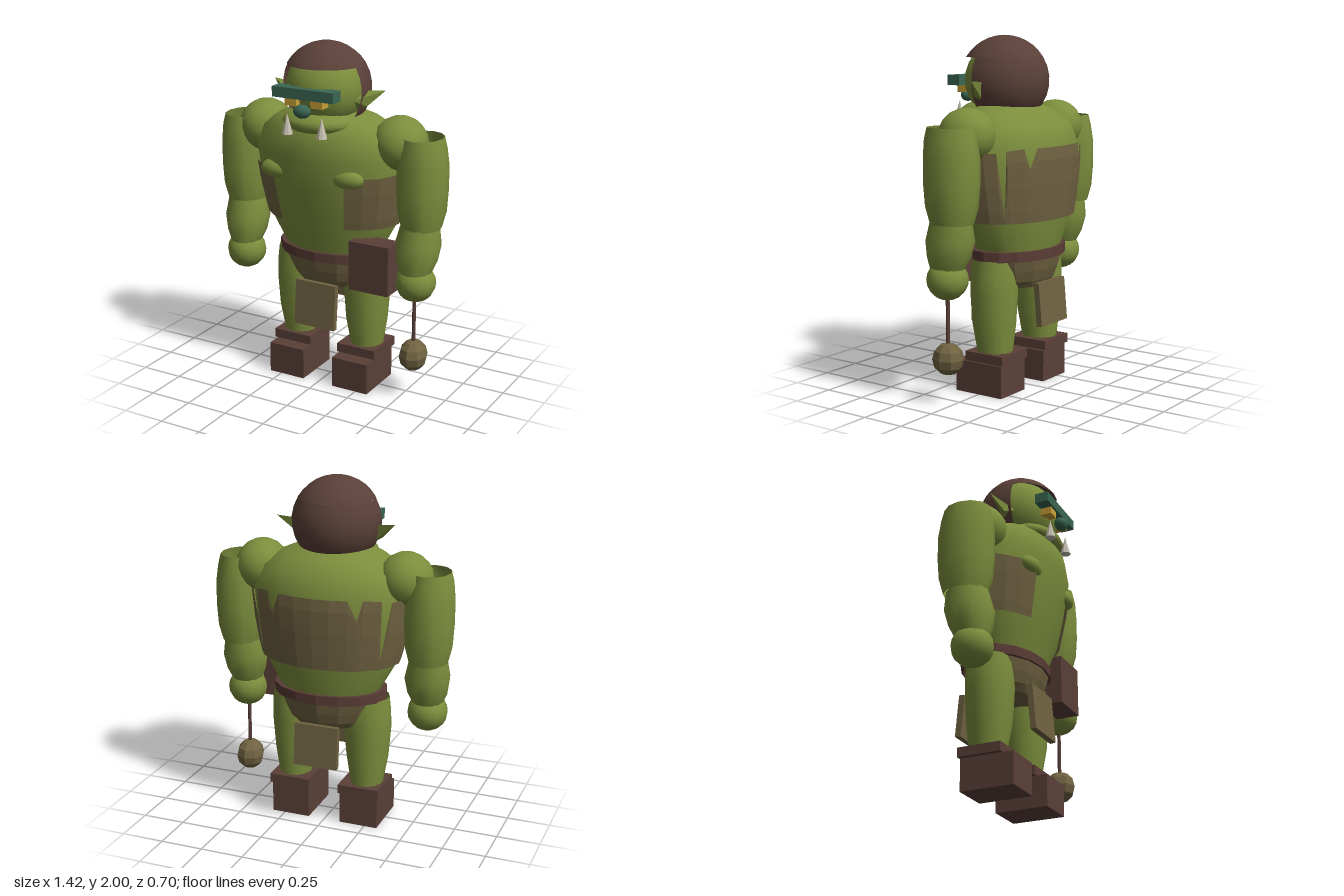
import * as THREE from 'three';
import { mergeVertices } from 'three/addons/utils/BufferGeometryUtils.js';
import { ConvexGeometry } from 'three/addons/geometries/ConvexGeometry.js';

const mat = (name, color, extra = {}) => new THREE.MeshStandardMaterial({ name, color, ...extra });

// Grid surface from a rule f(u, v) -> [x, y, z]; seams are welded for smooth normals
function surface(nu, nv, f) {
  const pos = [], idx = [];
  for (let j = 0; j <= nv; j++) for (let i = 0; i <= nu; i++) pos.push(...f(i, j));
  for (let j = 0; j < nv; j++) for (let i = 0; i < nu; i++) {
    const a = j * (nu + 1) + i, b = a + 1, c = a + nu + 1, d = c + 1;
    idx.push(a, b, d, a, d, c);
  }
  let g = new THREE.BufferGeometry();
  g.setAttribute('position', new THREE.Float32BufferAttribute(pos, 3));
  g.setIndex(idx);
  g = mergeVertices(g, 1e-5);
  g.computeVertexNormals();
  return g;
}

// Elliptical rings, bottom to top: [y, rx, rz, cx, cz]
function loft(rings, seg) {
  return surface(seg, rings.length - 1, (i, j) => {
    const [y, rx, rz, cx = 0, cz = 0] = rings[j];
    const a = ((i % seg) / seg) * Math.PI * 2;
    return [cx + rx * Math.sin(a), y, cz + rz * Math.cos(a)];
  });
}

// Torso rings: [y, rx, rz, cx, cz]
const TORSO = [
  [0.74, 0.0, 0.0, 0, -0.045], [0.74, 0.28, 0.2, 0, -0.045], [0.82, 0.3, 0.215, 0, -0.045],
  [1.0, 0.4, 0.265, 0, -0.04], [1.2, 0.44, 0.295, 0, -0.03], [1.38, 0.46, 0.315, 0, -0.02],
  [1.51, 0.41, 0.285, 0, -0.005], [1.58, 0.3, 0.22, 0, 0.01], [1.63, 0.18, 0.14, 0, 0.03], [1.64, 0, 0, 0, 0.03],
];
function torsoPoint(y, a, off) {
  let k = 1;
  while (k < TORSO.length - 2 && TORSO[k + 1][0] < y) k++;
  const t = (y - TORSO[k][0]) / (TORSO[k + 1][0] - TORSO[k][0]);
  const [, rx, rz, , cz] = TORSO[k].map((v, n) => v + (TORSO[k + 1][n] - v) * t);
  return [(rx + off) * Math.sin(a), y, cz + (rz + off) * Math.cos(a)];
}

export function createModel() {
  const skin = mat('green skin', 0x7c8e3d, { side: THREE.DoubleSide });
  const leather = mat('dark brown leather', 0x5a4038, { side: THREE.DoubleSide });
  const cloth = mat('khaki cloth', 0x706342, { side: THREE.DoubleSide, flatShading: true });
  const teal = mat('dark teal', 0x3b6652);
  const ivory = mat('ivory', 0xc6beb0, { flatShading: true });
  const yellow = mat('eye yellow', 0xc9a136);
  const group = new THREE.Group();

  const add = (name, geo, m, x = 0, y = 0, z = 0) => {
    const mesh = new THREE.Mesh(geo, m);
    mesh.name = name;
    mesh.position.set(x, y, z);
    group.add(mesh);
    return mesh;
  };
  const box = (name, m, x0, x1, y0, y1, z0, z1) =>
    add(name, new THREE.BoxGeometry(x1 - x0, y1 - y0, z1 - z0), m, (x0 + x1) / 2, (y0 + y1) / 2, (z0 + z1) / 2);
  const ball = (name, m, x, y, z, rx, ry, rz, w = 14, h = 10) =>
    add(name, new THREE.SphereGeometry(1, w, h).scale(rx, ry, rz), m, x, y, z);

  // Body
  add('torso', loft(TORSO, 24), skin);

  // Torn vest, open at the front: [angle from front, top height] for one half
  const half = [[0.5, 1.26], [0.75, 1.3], [1.0, 1.3], [1.3, 1.31], [1.6, 1.38], [1.9, 1.38], [2.1, 1.38],
    [2.17, 1.04], [2.25, 1.39], [2.5, 1.4], [2.58, 1.29], [2.7, 1.4], [2.92, 1.4]];
  const columns = [...half, [Math.PI, 1.4], ...half.map(([a, t]) => [2 * Math.PI - a, t]).reverse()];
  add('vest', surface(columns.length - 1, 6, (i, j) => {
    const [a, top] = columns[i];
    return torsoPoint(0.99 + (top - 0.99) * j / 6, a, 0.016);
  }), cloth);

  // Belt, loincloth and flaps
  add('belt', loft([[0.765, 0.3, 0.2, 0, -0.045], [0.765, 0.335, 0.235, 0, -0.045],
    [0.82, 0.335, 0.235, 0, -0.045], [0.82, 0.29, 0.2, 0, -0.045]], 16), mat('belt brown', 0x5a3c36, { flatShading: true }));
  add('loincloth', loft([[0.6, 0, 0, 0, -0.045], [0.6, 0.2, 0.17, 0, -0.045], [0.64, 0.25, 0.19, 0, -0.045],
    [0.7, 0.28, 0.21, 0, -0.045], [0.77, 0.31, 0.225, 0, -0.045]], 14), cloth);
  box('frontFlap', cloth, -0.13, 0.13, 0.365, 0.63, 0.153, 0.187).rotation.x = -0.08;
  box('backFlap', cloth, -0.13, 0.13, 0.39, 0.635, -0.285, -0.25).rotation.x = 0.09;
  box('pouch', leather, 0.225, 0.47, 0.645, 0.93, 0.06, 0.197);

  // Head and jaw
  const hx = 1.75, hz = 0.05, R = 0.253;
  ball('head', skin, 0, hx, hz, 0.225, 0.225, 0.225, 20, 14);
  ball('jaw', skin, 0, 1.573, 0.13, 0.215, 0.073, 0.168, 16, 10);

  // Hair: a full cap above, with the face cut out below it
  add('hairCap', new THREE.SphereGeometry(R, 20, 6, 0, Math.PI * 2, 0, Math.acos(0.13 / R)), leather, 0, hx, hz);
  const low = -Math.acos(0.13 / R) + Math.PI / 2;
  add('hairBack', surface(18, 9, (i, j) => {
    const t = -1.45 + (low + 1.45) * j / 9;
    const r = R * Math.cos(t), a0 = Math.acos(Math.min(1, 0.05 / r));
    const a = a0 + (2 * Math.PI - 2 * a0) * i / 18;
    return [r * Math.sin(a), R * Math.sin(t), r * Math.cos(a)];
  }), leather, 0, hx, hz);

  // Face
  box('brow', teal, -0.19, 0.19, 1.722, 1.78, 0.23, 0.31);
  ball('nose', teal, 0, 1.66, 0.31, 0.052, 0.038, 0.038, 12, 8);

  for (const s of [-1, 1]) {
    box('eye', yellow, s * 0.08 - 0.036, s * 0.08 + 0.036, 1.68, 1.724, 0.2, 0.298);
    add('tusk', new THREE.ConeGeometry(0.031, 0.115, 8), ivory, s * 0.108, 1.577, 0.288);
    add('ear', new ConvexGeometry([[0.2, 1.745, 0.03], [0.2, 1.63, 0.05], [0.2, 1.7, 0.11], [0.265, 1.67, 0.07], [0.352, 1.757, 0.02]]
      .map(([x, y, z]) => new THREE.Vector3(s * x, y, z))), skin);
    ball('chestMuscle', skin, s * 0.225, 1.29, 0.215, 0.1, 0.055, 0.055);

    // Arm
    const x = s * 0.57;
    ball('shoulder', skin, s * 0.43, 1.47, -0.01, 0.155, 0.152, 0.163);
    add('upperArm', loft([[1.01, 0.11, 0.125, x, -0.01], [1.1, 0.133, 0.15, x, -0.01], [1.22, 0.14, 0.16, x, -0.01],
      [1.36, 0.14, 0.16, x, -0.01], [1.46, 0.128, 0.15, x, -0.005], [1.525, 0.112, 0.135, x, -0.005]], 12), skin);
    add('forearm', loft([[0.76, 0.09, 0.1, x - s * 0.01, 0.03], [0.82, 0.115, 0.122, x - s * 0.01, 0.02],
      [0.91, 0.13, 0.138, x - s * 0.01, 0.01], [1.02, 0.108, 0.118, x - s * 0.005, 0]], 12), skin);
    ball('hand', skin, s * 0.56, 0.697, 0.03, 0.115, 0.112, 0.116);

    // Leg and boot
    const lx = s * 0.223;
    add('leg', loft([[0.2, 0.092, 0.1, lx, -0.04], [0.26, 0.098, 0.108, lx, -0.04], [0.4, 0.122, 0.127, lx, -0.035],
      [0.58, 0.137, 0.136, lx, -0.035], [0.68, 0.135, 0.135, lx, -0.035], [0.77, 0.125, 0.125, lx, -0.035]], 14), skin);
    box('bootCuff', leather, s * 0.213 - 0.122, s * 0.213 + 0.122, 0.19, 0.243, -0.17, 0.085);
    box('boot', leather, s * 0.211 - 0.114, s * 0.211 + 0.114, 0, 0.182, -0.155, 0.157);
  }

  // Hanging weight in the left hand
  add('weightCord', new THREE.CylinderGeometry(0.011, 0.011, 0.32, 8), leather, 0.557, 0.48, 0.033);
  ball('weight', cloth, 0.557, 0.255, 0.033, 0.083, 0.092, 0.093, 8, 6);

  return group;
}
